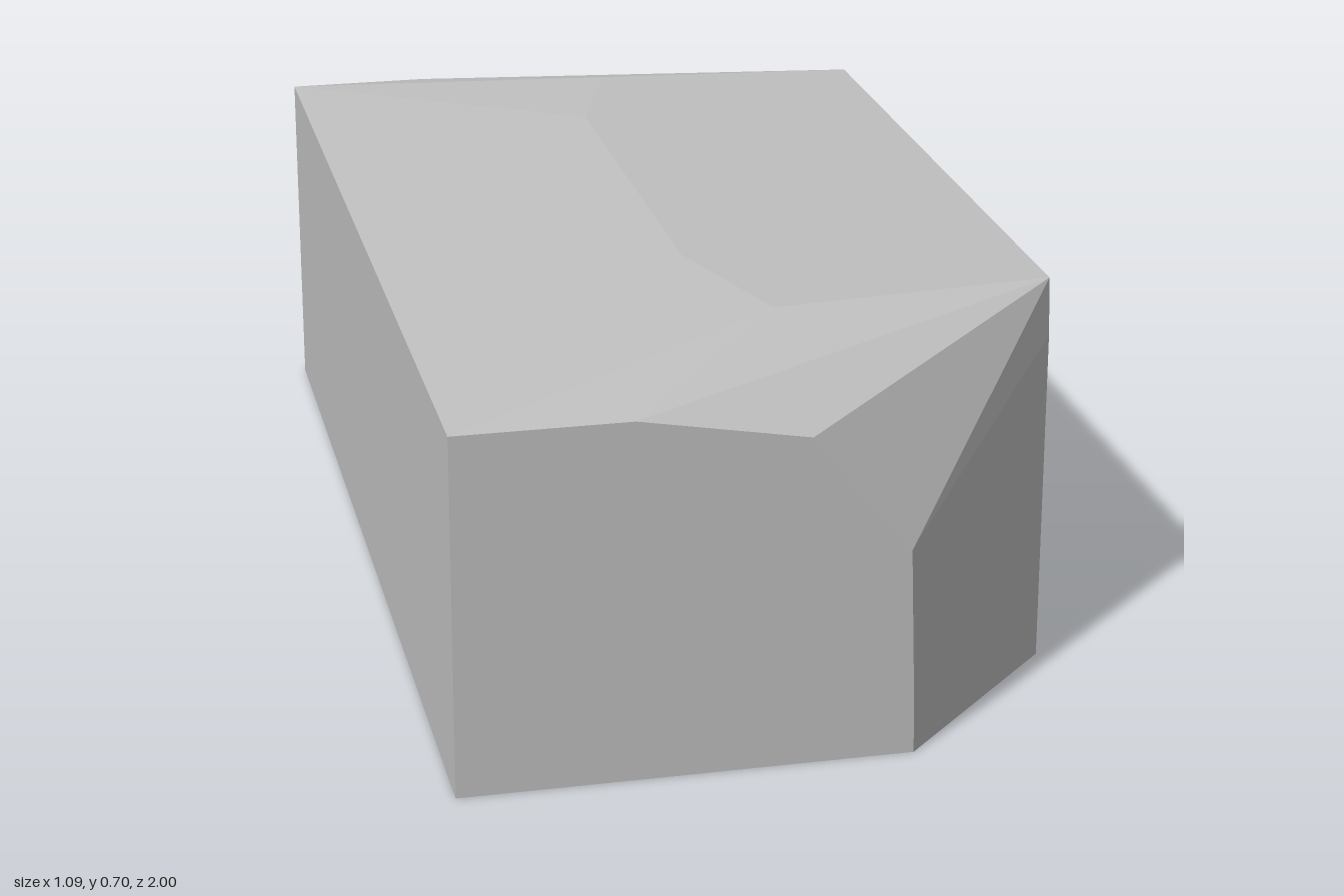
import * as THREE from 'three';
import { ConvexGeometry } from 'three/addons/geometries/ConvexGeometry.js';

// Turns [x, y] corners into points on a plane of constant z
const atZ = (z, corners) => corners.map(([x, y]) => new THREE.Vector3(x, y, z));
// Turns [z, y] corners into points on a plane of constant x
const atX = (x, corners) => corners.map(([z, y]) => new THREE.Vector3(x, y, z));
// Turns [x, z] corners into points on a plane of constant y
const atY = (y, corners) => corners.map(([x, z]) => new THREE.Vector3(x, y, z));

export function createModel() {
  const stoneGrey = new THREE.MeshStandardMaterial({ color: 0xbfbfbf });
  stoneGrey.name = 'stoneGrey';

  // Flat end faces, with worn upper corners
  const frontEnd = atZ(1, [
    [-0.545, 0], [-0.545, 0.632], [-0.245, 0.632], [0.045, 0.58],
    [0.215, 0.367], [0.225, 0.1], [0.227, 0],
  ]);
  const backEnd = atZ(-1, [
    [-0.545, 0], [-0.545, 0.632], [-0.275, 0.632], [0.06, 0.578],
    [0.187, 0.48], [0.22, 0.365], [0.235, 0],
  ]);

  // Long side between the two chamfered corners
  const longSide = atX(0.545, [
    [0.683, 0], [0.68, 0.6], [0.67, 0.7],
    [-0.65, 0.7], [-0.658, 0.6], [-0.667, 0.35], [-0.67, 0],
  ]);

  // Level part of the top, which slopes down to the other side
  const topFace = atY(0.7, [
    [0.05, 0.715], [-0.04, 0.42], [-0.04, -0.43], [0.05, -0.7],
  ]);

  const block = new THREE.Mesh(
    new ConvexGeometry([...frontEnd, ...backEnd, ...longSide, ...topFace]),
    stoneGrey
  );
  block.name = 'chamferedBlock';

  const model = new THREE.Group();
  model.name = 'stoneBlock';
  model.add(block);
  return model;
}
